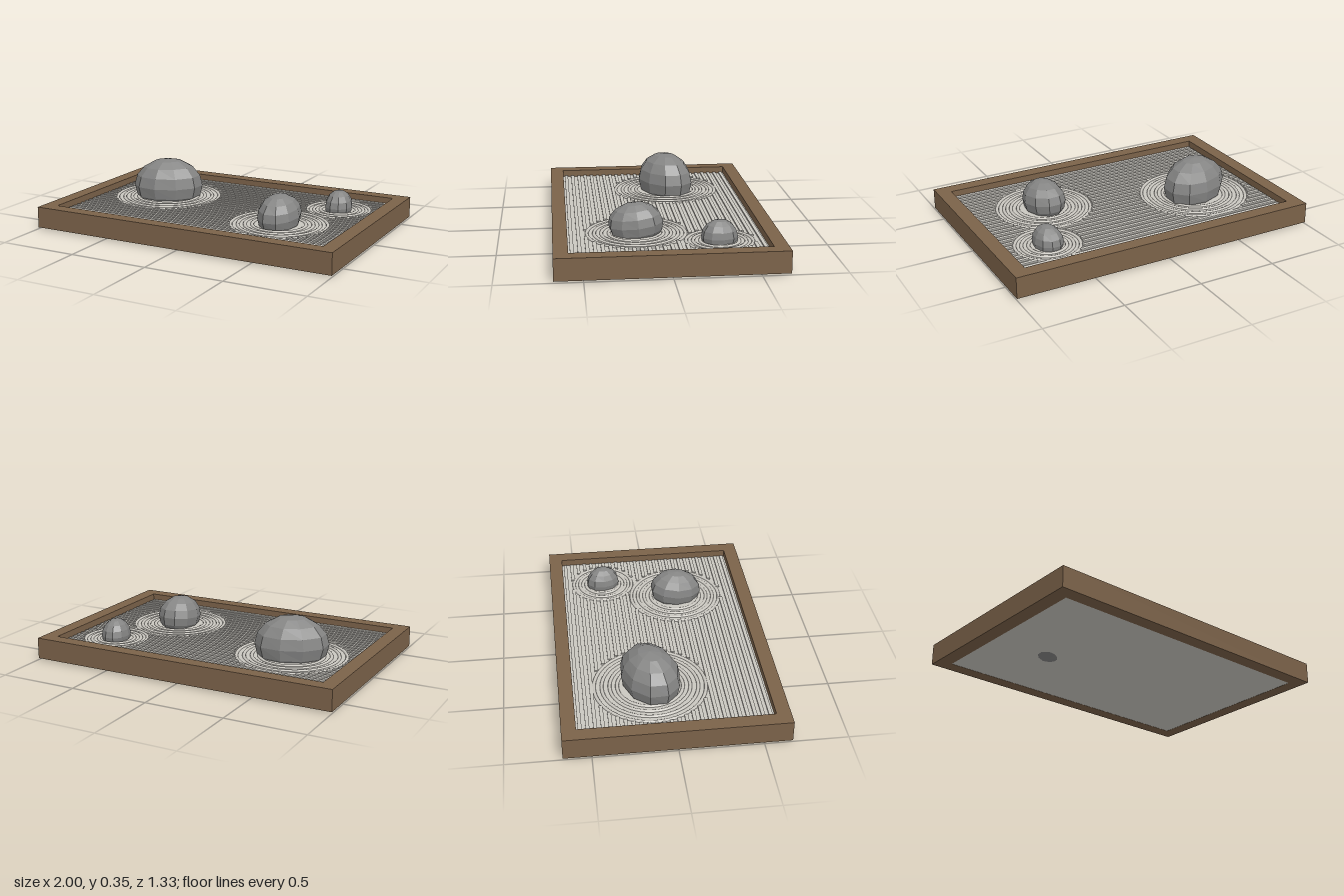
import * as THREE from 'three';

const material = (name, color, flatShading = false) => {
  const m = new THREE.MeshStandardMaterial({ color });
  m.name = name;
  m.flatShading = flatShading;
  return m;
};

const SAND_Y = 0.1, INNER_X = 0.91, INNER_Z = 0.58;

// Each stone: centre, half sizes, turn, and the radii of its raked rings
const STONES = [
  { name: 'largeStone', pos: [-0.505, 0.178, -0.112], size: [0.232, 0.178, 0.172], turn: [0, 0.4, 0],
    rings: [0.2, 0.245, 0.293, 0.34], clear: 0.355 },
  { name: 'mediumStone', pos: [0.445, 0.16, 0.165], size: [0.13, 0.132, 0.168], turn: [0.1, 0.05, 0],
    rings: [0.165, 0.21, 0.253, 0.297], clear: 0.31 },
  { name: 'smallStone', pos: [0.642, 0.128, -0.312], size: [0.088, 0.102, 0.112], turn: [0, 0.1, 0],
    rings: [0.115, 0.157, 0.198], clear: 0.21 },
];

// Faceted boulder: a coarse sphere, gently pushed in and out
function stoneGeometry(size, seed) {
  const g = new THREE.SphereGeometry(1, 10, 8);
  const p = g.attributes.position, v = new THREE.Vector3();
  for (let i = 0; i < p.count; i++) {
    v.fromBufferAttribute(p, i);
    const bump = Math.sin(v.x * 3.1 + seed) * Math.cos(v.z * 2.7 - seed) * Math.sin(v.y * 2 + 1);
    v.multiplyScalar(1 + 0.035 * bump);
    p.setXYZ(i, v.x * size[0], v.y * size[1], v.z * size[2]);
  }
  g.computeVertexNormals();
  return g;
}

// Parts of a rake line at depth z that stay clear of the ringed circles
function clearSpans(z) {
  let spans = [[-INNER_X + 0.01, INNER_X - 0.01]];
  for (const { pos, clear } of STONES) {
    const dz = z - pos[2];
    if (Math.abs(dz) >= clear) continue;
    const half = Math.sqrt(clear * clear - dz * dz);
    const a = pos[0] - half, b = pos[0] + half;
    spans = spans.flatMap(([s, e]) =>
      b <= s || a >= e ? [[s, e]] : [[s, a], [b, e]].filter(([l, r]) => r - l > 0.01));
  }
  return spans;
}

export function createModel() {
  const model = new THREE.Group();
  model.name = 'sandGarden';
  const wood = material('wood', 0x7b6249);
  const sand = material('sand', 0xcac7c0);
  const rock = material('rock', 0x858584, true);

  const add = (name, geometry, mat, parent = model) => {
    const mesh = new THREE.Mesh(geometry, mat);
    mesh.name = name;
    parent.add(mesh);
    return mesh;
  };
  const group = (name) => {
    const g = new THREE.Group();
    g.name = name;
    model.add(g);
    return g;
  };

  // Wooden frame
  const rectangle = (Type, x, z) => new Type([[-x, -z], [x, -z], [x, z], [-x, z]]
    .map(([a, b]) => new THREE.Vector2(a, b)));
  const outline = rectangle(THREE.Shape, 1, 0.667);
  outline.holes.push(rectangle(THREE.Path, INNER_X, INNER_Z));
  const frameGeometry = new THREE.ExtrudeGeometry(outline, { depth: 0.133, bevelEnabled: false });
  frameGeometry.rotateX(-Math.PI / 2);
  add('frame', frameGeometry, wood).position.y = 0.012;

  // Bed of sand
  const bedBottom = 0.013;
  add('sandBed', new THREE.BoxGeometry(INNER_X * 2, SAND_Y - bedBottom, INNER_Z * 2), sand)
    .position.y = (SAND_Y + bedBottom) / 2;

  // Straight raked ridges, broken around the stones
  const lines = group('rakedLines');
  const count = 26, step = (INNER_Z * 2) / count;
  for (let i = 0; i < count; i++) {
    const z = -INNER_Z + (i + 0.5) * step;
    for (const [s, e] of clearSpans(z)) {
      add('rakedLine', new THREE.BoxGeometry(e - s, 0.012, step * 0.5), sand, lines)
        .position.set((s + e) / 2, SAND_Y + 0.004, z);
    }
  }

  // Stones with low ring ridges around them
  const rings = group('rakedRings');
  STONES.forEach(({ name, pos, size, turn, rings: radii }, i) => {
    const stone = add(name, stoneGeometry(size, i * 1.7 + 0.6), rock);
    stone.position.set(...pos);
    stone.rotation.set(...turn);
    for (const r of radii) {
      const ring = add('rakedRing', new THREE.TorusGeometry(r, 0.011, 8, 56), sand, rings);
      ring.geometry.rotateX(-Math.PI / 2);
      ring.scale.y = 0.8;
      ring.position.set(pos[0], SAND_Y, pos[2]);
    }
  });
  return model;
}
